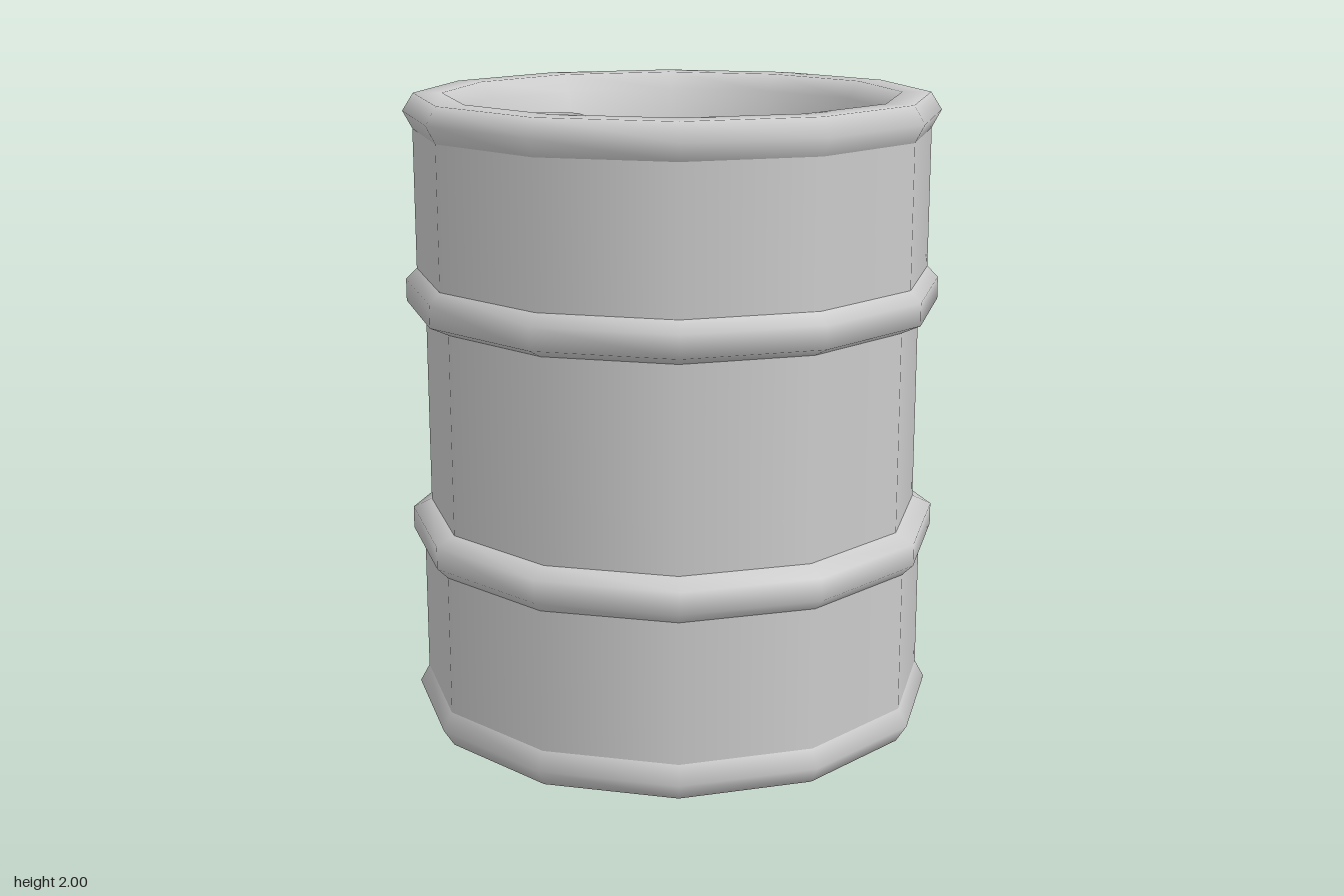
import * as THREE from 'three';

const SIDES = 12;
const material = new THREE.MeshStandardMaterial({ color: 0xcccccc });

// Smooth lathe from [radius, height] pairs
function lathe(name, profile, sides = SIDES) {
  const points = profile.map(([r, y]) => new THREE.Vector2(r, y));
  const mesh = new THREE.Mesh(new THREE.LatheGeometry(points, sides), material);
  mesh.name = name;
  return mesh;
}

function polygon(radius, cx = 0, cy = 0) {
  return Array.from({ length: SIDES }, (_, i) => {
    const a = (i / SIDES) * Math.PI * 2;
    return new THREE.Vector2(cx + radius * Math.cos(a), cy + radius * Math.sin(a));
  });
}

// One end of the drum, with its outer face at y = 0 pointing up
function drumEnd(name) {
  const end = new THREE.Group();
  end.name = name;
  const floorY = -0.18, dishY = -0.24, dishX = 0.125, dishZ = -0.02;

  // Rounded rim and the wall stepping down to the recessed lid
  end.add(lathe('rim', [[0.81, -0.11], [0.84, -0.055], [0.805, 0], [0.715, 0], [0.675, -0.055], [0.645, floorY]]));

  // Recessed lid with an opening for the off-centre dish
  const shape = new THREE.Shape(polygon(0.645));
  shape.holes.push(new THREE.Path(polygon(0.342, dishX, -dishZ)));
  const lid = new THREE.Mesh(new THREE.ShapeGeometry(shape).rotateX(-Math.PI / 2), material);
  lid.name = 'lid';
  lid.position.y = floorY;
  end.add(lid);

  // Pressed dish
  const dish = new THREE.Group();
  dish.name = 'dish';
  dish.position.set(dishX, 0, dishZ);
  dish.add(lathe('dishSlope', [[0.342, floorY], [0.25, dishY]]));
  dish.add(lathe('dishFloor', [[0.25, dishY], [0, dishY]]));
  end.add(dish);
  return end;
}

export function createModel() {
  const drum = new THREE.Group();
  drum.name = 'drum';

  // Side walls, the middle one slightly narrower
  drum.add(lathe('lowerWall', [[0.81, 0.11], [0.81, 0.56]]));
  drum.add(lathe('middleWall', [[0.785, 0.68], [0.785, 1.325]]));
  drum.add(lathe('upperWall', [[0.81, 1.445], [0.81, 1.895]]));

  // Rolling hoops, mirrored about mid height
  const hoop = [[0.81, 0.555], [0.845, 0.59], [0.845, 0.66], [0.785, 0.688]];
  drum.add(lathe('lowerHoop', hoop));
  drum.add(lathe('upperHoop', hoop.map(([r, y]) => [r, 2.005 - y]).reverse()));

  // Ends
  const top = drumEnd('topEnd');
  top.position.y = 2;
  const bottom = drumEnd('bottomEnd');
  bottom.rotation.x = Math.PI;
  drum.add(top, bottom);

  // Tapered eight-sided spout with a hollow mouth
  const spout = new THREE.Group();
  spout.name = 'spout';
  spout.position.set(-0.413, 1.82, -0.015);
  spout.rotation.y = THREE.MathUtils.degToRad(14);
  spout.add(lathe('spoutBody', [[0.145, 0], [0.1, 0.13]], 8));
  spout.add(lathe('spoutMouth', [[0.1, 0.13], [0.075, 0.075], [0, 0.06]], 8));
  drum.add(spout);

  return drum;
}
